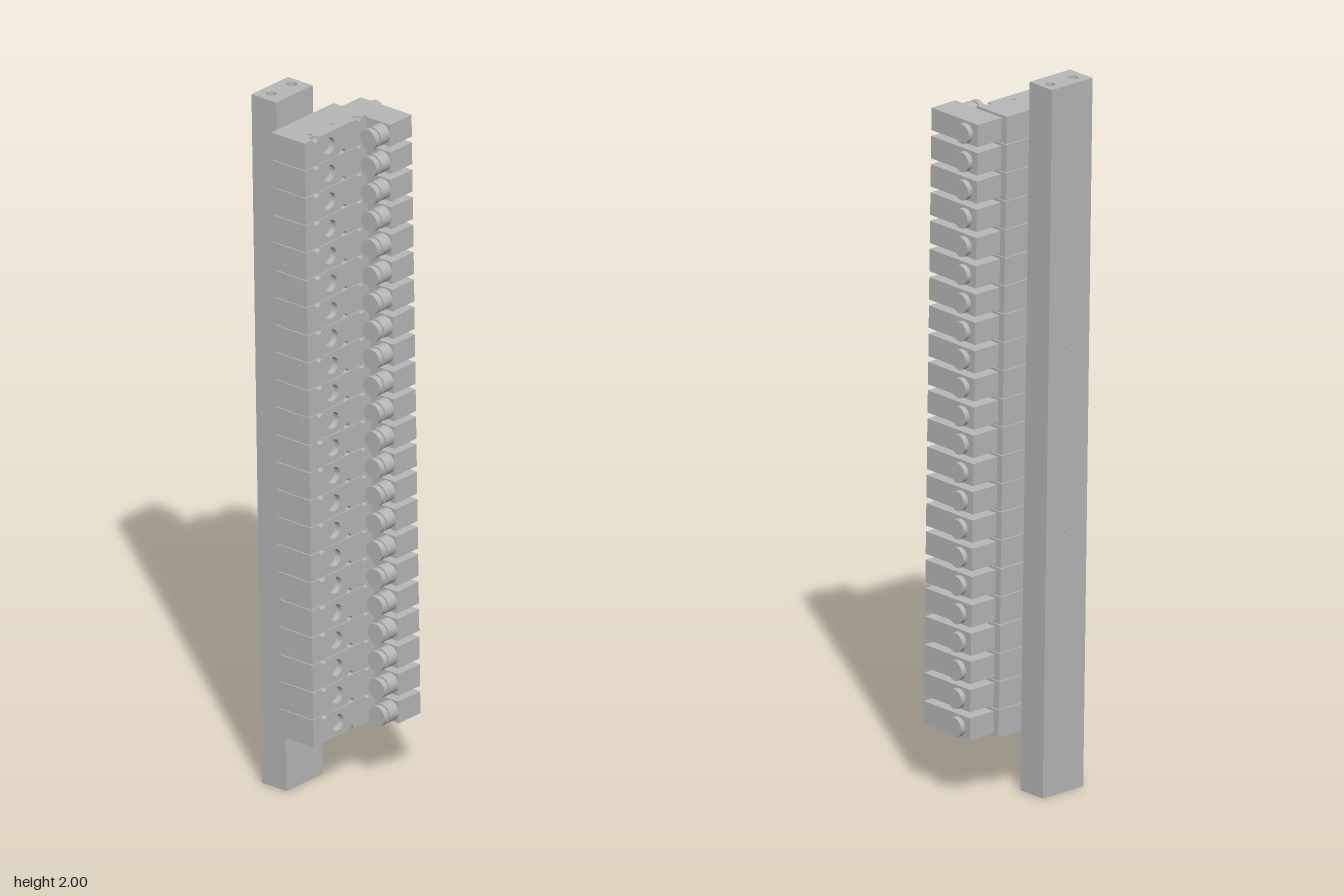
import * as THREE from 'three';

const COUNT = 22, PITCH = 0.0797, FIRST = 0.207, TILT = -0.0182;

export function createModel() {
  const metal = new THREE.MeshStandardMaterial({ color: 0xb6b6b6 });
  metal.name = 'plain grey metal';

  const add = (parent, name, geometry, x = 0, y = 0, z = 0) => {
    const mesh = new THREE.Mesh(geometry, metal);
    mesh.name = name;
    mesh.position.set(x, y, z);
    parent.add(mesh);
    return mesh;
  };
  const circle = (x, y, r) => new THREE.Path().absarc(x, y, r, 0, Math.PI * 2, true);
  const rect = (x0, x1, y0, y1) => new THREE.Shape([
    new THREE.Vector2(x0, y0), new THREE.Vector2(x1, y0),
    new THREE.Vector2(x1, y1), new THREE.Vector2(x0, y1)]);
  const extrude = (shape, depth) =>
    new THREE.ExtrudeGeometry(shape, { depth, bevelEnabled: false, curveSegments: 10 });
  // Vertical prism drawn in plan: shape y is -z, extruded up from y0
  const prism = (shape, y0, height) =>
    extrude(shape, height).rotateX(-Math.PI / 2).translate(0, y0, 0);
  // Turned part along x from [radius, x] pairs, each straight run kept crisp
  const turned = (points) => {
    const g = new THREE.LatheGeometry(points.map(p => new THREE.Vector2(...p)), 24);
    g.rotateZ(-Math.PI / 2);
    const flat = g.toNonIndexed();
    flat.deleteAttribute('normal');
    const pos = flat.attributes.position, normals = [];
    const a = new THREE.Vector3(), b = new THREE.Vector3(), c = new THREE.Vector3();
    for (let i = 0; i < pos.count; i += 3) {
      a.fromBufferAttribute(pos, i);
      b.fromBufferAttribute(pos, i + 1).sub(a);
      c.fromBufferAttribute(pos, i + 2).sub(a);
      const n = b.cross(c).normalize();
      for (let k = 0; k < 3; k++) {
        const y = pos.getY(i + k), z = pos.getZ(i + k), r = Math.hypot(y, z);
        // Axial faces stay flat, cylinder walls get radial normals
        if (Math.abs(n.x) > 0.5 || r < 1e-5) normals.push(n.x, n.y, n.z);
        else normals.push(0, y / r, z / r);
      }
    }
    flat.setAttribute('normal', new THREE.Float32BufferAttribute(normals, 3));
    return flat;
  };

  const model = new THREE.Group();
  model.name = 'valveManifold';
  const assembly = new THREE.Group();
  assembly.name = 'tiltedAssembly';
  assembly.position.y = 1;
  assembly.rotation.x = TILT;
  model.add(assembly);
  const stack = new THREE.Group();
  stack.name = 'manifoldStack';
  stack.position.y = -1;
  assembly.add(stack);

  // Supply bar with two long channels
  const barShape = rect(-0.159, -0.012, 0.057, 0.144);
  barShape.holes.push(circle(-0.123, 0.106, 0.014), circle(-0.04, 0.106, 0.014));
  add(stack, 'supplyBar', prism(barShape, 0.001, 1.998));
  for (const y of [0.74, 1.26]) {
    const hole = add(stack, 'barMountingRing', new THREE.TorusGeometry(0.006, 0.0015, 6, 16), -0.086, y, -0.144);
    hole.rotation.y = Math.PI;
  }

  // Valve body: rear block with through bores
  const h = PITCH - 0.002, half = h / 2;
  const blockShape = rect(-0.179, 0.07, -0.042, 0.057);
  blockShape.holes.push(circle(-0.125, -0.03, 0.0065), circle(-0.037, -0.03, 0.0065));
  const blockGeo = prism(blockShape, -half, h);

  // Front plate with a central port and edge notches
  const face = new THREE.Shape();
  face.moveTo(-0.179, -half);
  face.lineTo(-0.039, -half);
  face.absarc(-0.028, -half, 0.011, Math.PI, 0, true);
  face.lineTo(0.07, -half);
  face.lineTo(0.07, half);
  face.lineTo(0.047, half);
  face.absarc(0.038, half, 0.009, 0, Math.PI, true);
  face.lineTo(-0.122, half);
  face.absarc(-0.134, half, 0.012, 0, Math.PI, true);
  face.lineTo(-0.179, half);
  face.closePath();
  face.holes.push(circle(-0.083, 0, 0.024));
  const faceGeo = extrude(face, 0.018);

  const coilGeo = new THREE.BoxGeometry(0.087, 0.063, 0.18);
  const plugGeo = turned([[0, 0], [0.0285, 0], [0.0285, 0.015], [0.024, 0.015],
    [0.024, 0.021], [0.0285, 0.021], [0.0285, 0.058], [0, 0.058]]);
  const knobGeo = turned([[0, 0], [0.021, 0], [0.021, 0.006], [0.0275, 0.006],
    [0.0275, 0.0215], [0, 0.0215]]);
  const screwGeo = new THREE.CylinderGeometry(0.006, 0.006, 0.002, 12).rotateZ(Math.PI / 2);

  // Repeated valve units
  for (let i = 0; i < COUNT; i++) {
    const valve = new THREE.Group();
    valve.name = 'valveUnit';
    valve.position.y = FIRST + i * PITCH;
    stack.add(valve);
    add(valve, 'valveBody', blockGeo);
    add(valve, 'portFace', faceGeo, 0, 0, 0.042);
    add(valve, 'coilHousing', coilGeo, 0.1135, 0, 0.052);
    add(valve, 'cableConnector', plugGeo, 0.0135, 0, 0.1135);
    add(valve, 'endKnob', knobGeo, 0.156, 0, 0.002);
    add(valve, 'sideScrew', screwGeo, -0.179, 0.02, 0.03);
    add(valve, 'sideScrew', screwGeo, -0.179, -0.02, -0.02);
  }
  return model;
}
